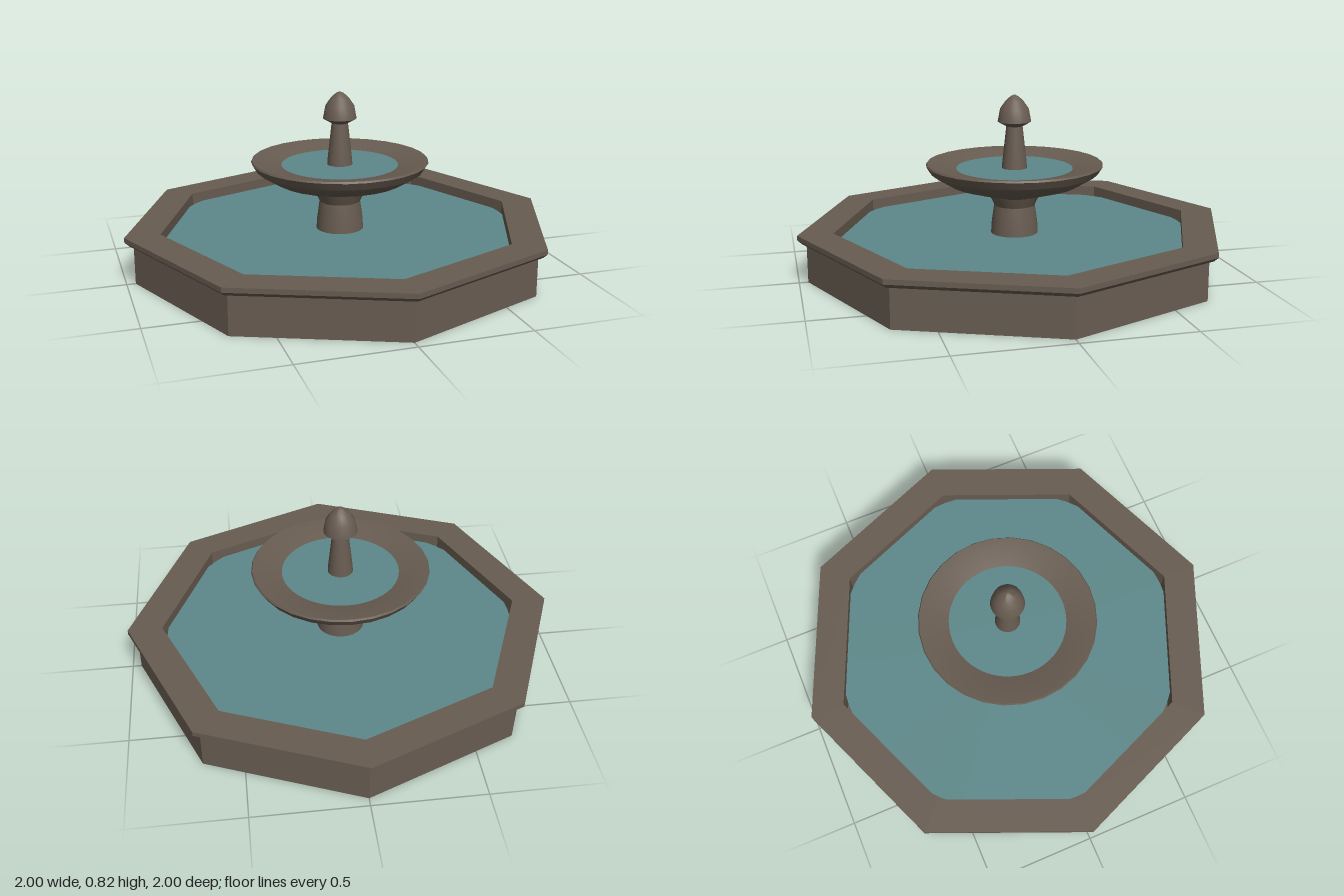
import * as THREE from 'three';
import { toCreasedNormals } from 'three/addons/utils/BufferGeometryUtils.js';

export function createModel() {
  const fountain = new THREE.Group();
  fountain.name = 'fountain';

  const stone = new THREE.MeshStandardMaterial({ color: 0x685c51, side: THREE.DoubleSide });
  stone.name = 'stone';
  const water = new THREE.MeshStandardMaterial({ color: 0x5d888a, side: THREE.DoubleSide });
  water.name = 'water';

  // Turn a profile of [radius, height] points around the y axis
  function turned(name, profile, sides, crease) {
    const points = profile.map(([r, y]) => new THREE.Vector2(r, y));
    const geometry = toCreasedNormals(new THREE.LatheGeometry(points, sides), crease);
    const mesh = new THREE.Mesh(geometry, stone);
    mesh.name = name;
    fountain.add(mesh);
  }

  function pool(name, radius, y) {
    const mesh = new THREE.Mesh(new THREE.CircleGeometry(radius, 48).rotateX(-Math.PI / 2), water);
    mesh.name = name;
    mesh.position.y = y;
    fountain.add(mesh);
  }

  // Octagonal basin: outer wall, overhanging rim, inner wall and raised floor, open underneath
  turned('basin', [
    [0.96, 0], [0.96, 0.18], [0.98, 0.18], [1, 0.198], [1, 0.22],
    [0.84, 0.22], [0.84, 0.08], [0, 0.08],
  ], 8, 0.1);
  pool('basinWater', 0.82, 0.172);

  // Pedestal tapering up, then flaring under the bowl
  turned('pedestal', [
    [0.115, 0.08], [0.107, 0.22], [0.095, 0.305], [0.117, 0.352],
  ], 28, 0.5);

  // Wide shallow upper bowl
  turned('bowl', [
    [0, 0.35], [0.115, 0.352], [0.3, 0.408], [0.388, 0.462], [0.41, 0.497], [0.405, 0.505],
    [0.37, 0.5], [0.27, 0.478], [0.15, 0.44], [0, 0.43],
  ], 28, 0.4);
  pool('bowlWater', 0.27, 0.479);

  // Slim column and pointed finial
  turned('column', [[0.062, 0.43], [0.056, 0.51], [0.037, 0.68]], 24, 0.5);
  turned('finial', [
    [0, 0.672], [0.038, 0.674], [0.077, 0.696], [0.066, 0.755],
    [0.042, 0.79], [0.018, 0.812], [0, 0.82],
  ], 24, 0.6);

  return fountain;
}
